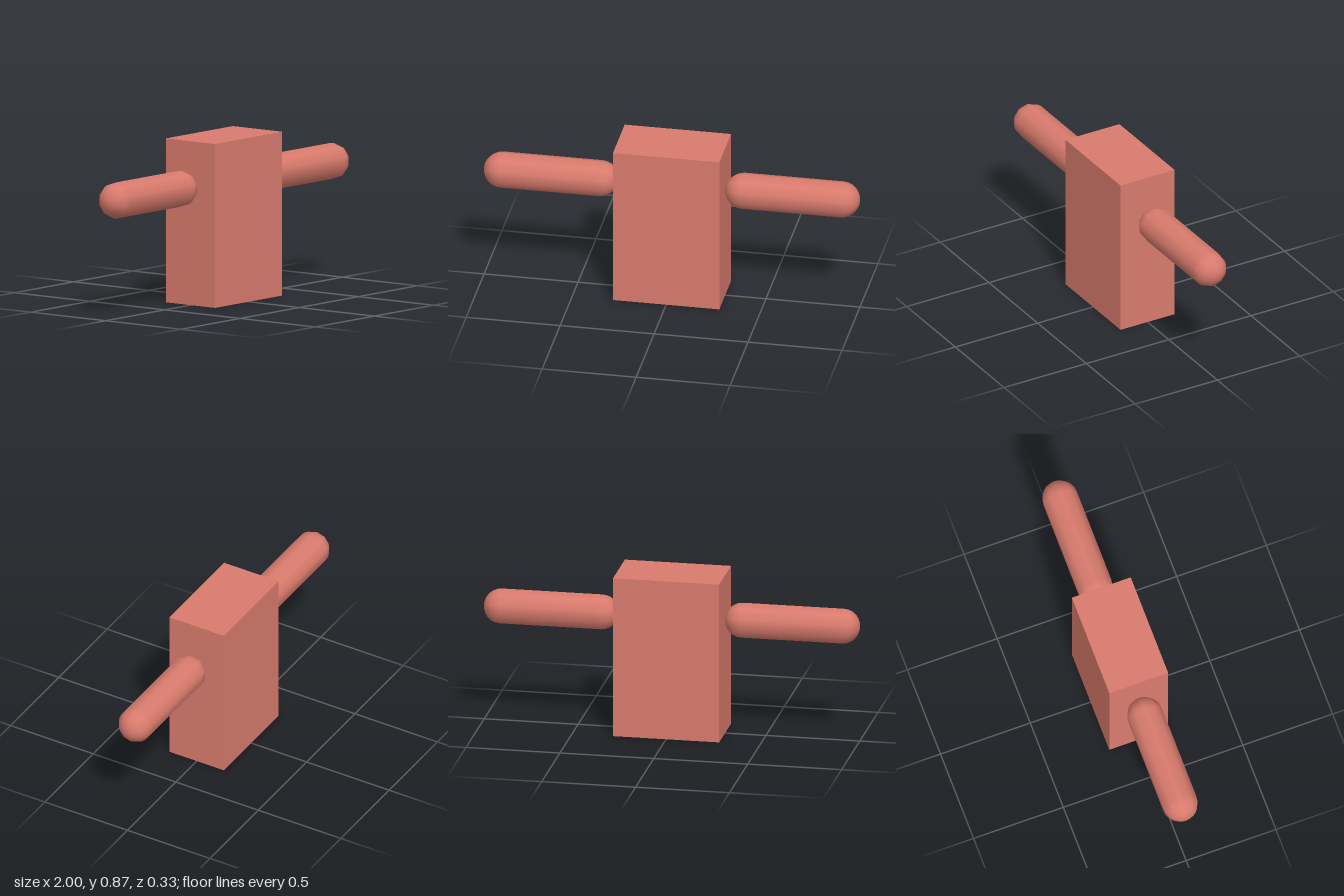
import * as THREE from 'three';

export function createModel() {
  const model = new THREE.Group();
  const material = new THREE.MeshStandardMaterial({ color: 0xd97b6d });

  // Block body standing on the ground
  const body = new THREE.Mesh(new THREE.BoxGeometry(0.566, 0.866, 0.328), material);
  body.name = 'body';
  body.position.y = 0.433;
  model.add(body);

  // Ten-sided rounded arms, reaching straight out from the body's sides
  const radius = 0.096, inner = 0.284, outer = 1;
  const armGeometry = new THREE.CapsuleGeometry(radius, outer - inner - 2 * radius, 6, 10);
  armGeometry.rotateZ(Math.PI / 2);
  for (const [name, side] of [['leftArm', 1], ['rightArm', -1]]) {
    const arm = new THREE.Mesh(armGeometry, material);
    arm.name = name;
    arm.position.set(side * (inner + outer) / 2, 0.625, 0);
    model.add(arm);
  }

  return model;
}
